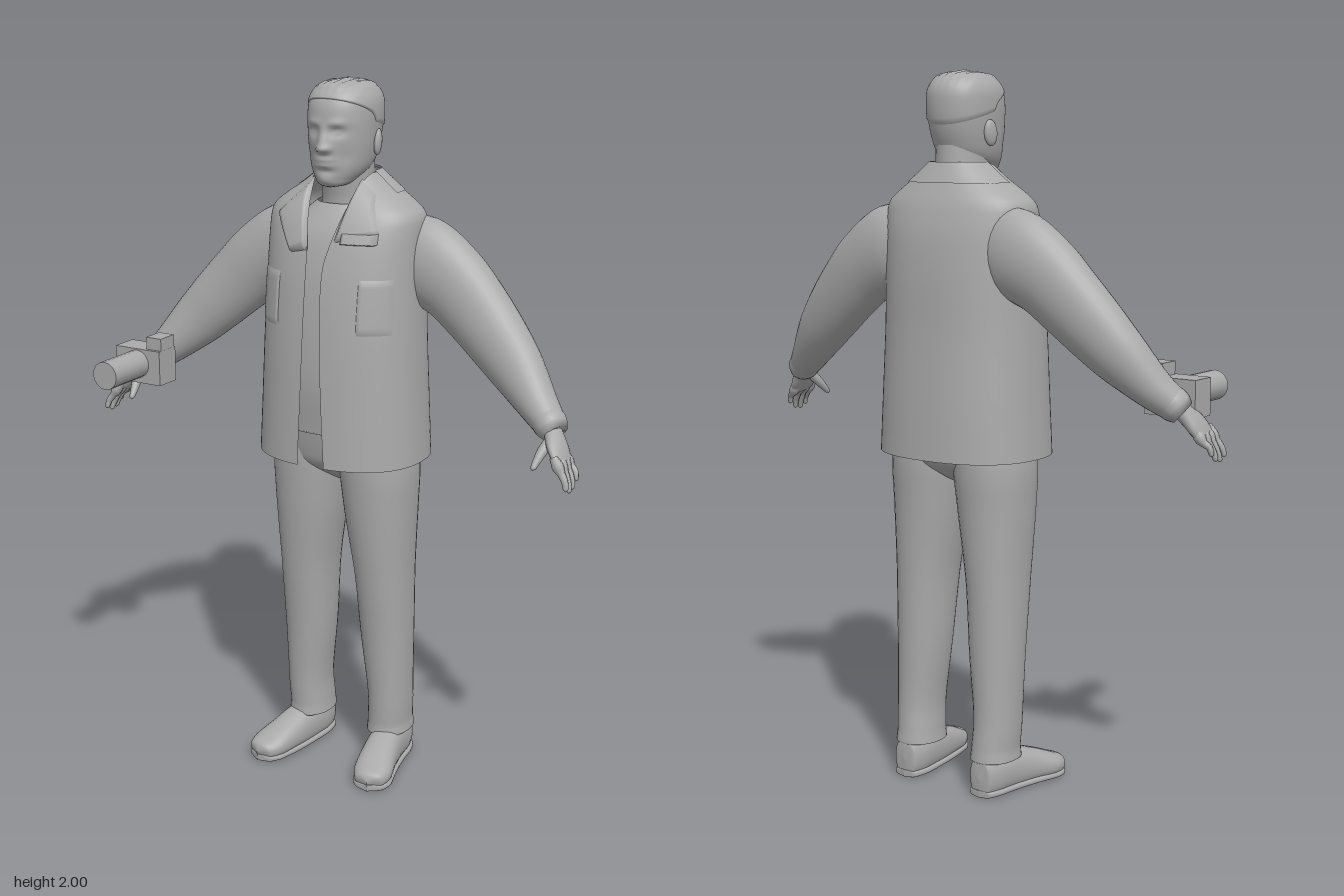
import * as THREE from 'three';

const V = (x, y, z) => new THREE.Vector3(x, y, z);
const spow = (a, p) => Math.sign(a) * Math.abs(a) ** p;
const bell = (d, w) => Math.exp(-(d * d) / (w * w));
const grey = new THREE.MeshStandardMaterial({ color: 0xaaaaaa, side: THREE.DoubleSide });
grey.name = 'grey';

// Grid surface from f(u, v); u may wrap round
function surface(f, nu, nv, closed = true) {
  const pos = [], idx = [], cols = closed ? nu : nu + 1;
  for (let j = 0; j <= nv; j++)
    for (let i = 0; i < cols; i++) pos.push(...f(i / nu, j / nv).toArray());
  for (let j = 0; j < nv; j++)
    for (let i = 0; i < nu; i++) {
      const a = j * cols + i, b = j * cols + (i + 1) % cols, c = a + cols, d = b + cols;
      idx.push(a, c, b, b, c, d);
    }
  const g = new THREE.BufferGeometry();
  g.setAttribute('position', new THREE.Float32BufferAttribute(pos, 3));
  g.setIndex(idx);
  g.computeVertexNormals();
  return g;
}

// Smooth value of column k at height y in sections [y, halfWidth, zFront, zBack]
function at(s, y, k) {
  let i = 0;
  while (i < s.length - 2 && y > s[i + 1][0]) i++;
  const slope = (a, b) => (s[b][k] - s[a][k]) / (s[b][0] - s[a][0]);
  const h = s[i + 1][0] - s[i][0], t = (y - s[i][0]) / h;
  const m0 = slope(Math.max(i - 1, 0), i + 1) * h, m1 = slope(i, Math.min(i + 2, s.length - 1)) * h;
  const t2 = t * t, t3 = t2 * t;
  return s[i][k] * (2 * t3 - 3 * t2 + 1) + m0 * (t3 - 2 * t2 + t) + s[i + 1][k] * (3 * t2 - 2 * t3) + m1 * (t3 - t2);
}

// Point on a sectioned body at height y and angle a (front at 90 degrees)
function ring(s, y, a, n, off = 0) {
  const f = at(s, y, 2), b = at(s, y, 3);
  return V((Math.max(at(s, y, 1), 0) + off) * spow(Math.cos(a), 2 / n), y,
    (f + b) / 2 + (Math.max((f - b) / 2, 0) + off) * spow(Math.sin(a), 2 / n));
}
function body(s, n, nu = 48, nv = 32) {
  const y0 = s[0][0], y1 = s[s.length - 1][0];
  return surface((u, v) => ring(s, y0 + (y1 - y0) * (1 - Math.cos(Math.PI * v)) / 2, u * Math.PI * 2, n), nu, nv);
}

// Limb along points [x, y, z, ra, rb]; rb lies along ref
function limb(pts, ref, nu = 20, nv = 24, n = 2, floor = -1) {
  const path = new THREE.CatmullRomCurve3(pts.map(p => V(p[0], p[1], p[2])));
  const rad = new THREE.CatmullRomCurve3(pts.map(p => V(p[3], p[4], 0)));
  return surface((u, v) => {
    const T = path.getTangent(v), B = ref.clone().addScaledVector(T, -ref.dot(T)).normalize();
    const N = T.clone().cross(B), r = rad.getPoint(v), a = u * Math.PI * 2;
    const p = path.getPoint(v).addScaledVector(N, Math.max(r.x, 0) * spow(Math.cos(a), 2 / n))
      .addScaledVector(B, Math.max(r.y, 0) * spow(Math.sin(a), 2 / n));
    p.y = Math.max(p.y, floor);
    return p;
  }, nu, nv);
}

const VEST = [[0.955, 0.245, 0.145, -0.255], [1.1, 0.238, 0.14, -0.25], [1.3, 0.23, 0.13, -0.24], [1.45, 0.226, 0.115, -0.236],
  [1.56, 0.226, 0.093, -0.226], [1.62, 0.226, 0.072, -0.212], [1.648, 0.219, 0.058, -0.203], [1.675, 0.188, 0.043, -0.191], [1.708, 0.139, 0.022, -0.176], [1.75, 0.085, 0.0, -0.155]];
const SHIRT = [[1.04, 0.2, 0.1, -0.2], [1.2, 0.21, 0.115, -0.21], [1.45, 0.205, 0.1, -0.21], [1.58, 0.19, 0.072, -0.19],
  [1.63, 0.13, 0.045, -0.175], [1.67, 0.08, 0.016, -0.16]];
const PELVIS = [[0.865, 0.015, -0.04, -0.08], [0.89, 0.07, 0.005, -0.13], [0.93, 0.175, 0.056, -0.178], [0.97, 0.208, 0.072, -0.19], [1.07, 0.2, 0.09, -0.2]];
const NECK = [[1.6, 0.08, 0.01, -0.15], [1.68, 0.073, 0.008, -0.152], [1.74, 0.07, 0.02, -0.152], [1.8, 0.07, 0.03, -0.15]];
const HEAD = [[1.715, 0.0, 0.03, 0.0], [1.722, 0.035, 0.05, -0.03], [1.74, 0.057, 0.058, -0.085], [1.77, 0.076, 0.063, -0.13], [1.81, 0.086, 0.065, -0.152],
  [1.86, 0.092, 0.066, -0.166], [1.91, 0.094, 0.065, -0.17], [1.945, 0.09, 0.056, -0.166], [1.972, 0.075, 0.036, -0.148], [1.987, 0.05, 0.01, -0.118], [1.994, 0.0, -0.055, -0.06]];
const VN = 2.35;

// Jacket shell, open down the front and into a V at the neck
function vestShell() {
  const edgeR = [[0.955, 0.043], [1.25, 0.025], [1.5, 0.018], [1.58, 0.035], [1.75, 0.083]];
  const edgeL = [[0.955, 0.04], [1.25, 0.032], [1.5, 0.032], [1.58, 0.042], [1.75, 0.083]];
  return surface((u, v) => {
    const y = 0.955 + 0.795 * Math.sin(v * Math.PI / 2), w = at(VEST, y, 1);
    const ang = e => Math.acos(Math.min(1, at(e, y, 1) / w) ** (VN / 2));
    const start = Math.PI - ang(edgeL), end = Math.PI * 2 + ang(edgeR);
    return ring(VEST, y, start + (end - start) * u, VN);
  }, 72, 44, false);
}

// Cloth panel laid on the jacket front; corners run round as [x, y]
function panel(c, off) {
  const n = 12;
  return surface((u, v) => {
    const mix = k => (c[0][k] * (1 - u) + c[1][k] * u) * (1 - v) + (c[3][k] * (1 - u) + c[2][k] * u) * v;
    const x = mix(0), y = mix(1), f = at(VEST, y, 2), b = at(VEST, y, 3);
    const q = Math.min(1, Math.abs(x) / at(VEST, y, 1));
    const rim = Math.min(u, v, 1 - u, 1 - v) < 0.01;
    return V(x, y, (f + b) / 2 + (f - b) / 2 * (1 - q ** VN) ** (1 / VN) + (rim ? -0.003 : off));
  }, n, n, false);
}

// Head with nose, brow, eye sockets, lips and chin
function headShape() {
  const g = body(HEAD, 2.15, 96, 72), p = g.attributes.position;
  for (let i = 0; i < p.count; i++) {
    const x = p.getX(i), y = p.getY(i), z = p.getZ(i), ax = Math.abs(x);
    if (z < -0.02) continue;
    const ridge = y > 1.822 ? Math.max(0, 1 - (y - 1.822) / 0.07) : bell(y - 1.822, 0.01);
    const dz = 0.024 * bell(x, 0.012 + 0.006 * ridge) * ridge
      + 0.007 * bell(ax - 0.014, 0.008) * bell(y - 1.823, 0.009)
      - 0.011 * bell(ax - 0.036, 0.02) * bell(y - 1.868, 0.013)
      + 0.005 * bell(ax - 0.036, 0.012) * bell(y - 1.866, 0.006)
      + 0.005 * bell(ax - 0.034, 0.026) * bell(y - 1.89, 0.01)
      + 0.006 * bell(x, 0.026) * (bell(y - 1.793, 0.007) + bell(y - 1.778, 0.007))
      - 0.004 * bell(x, 0.03) * bell(y - 1.762, 0.008)
      + 0.006 * bell(x, 0.025) * bell(y - 1.738, 0.014)
      - 0.004 * bell(ax - 0.055, 0.02) * bell(y - 1.8, 0.025);
    p.setZ(i, z + dz);
  }
  g.computeVertexNormals();
  return g;
}

// Short hair with a hairline that drops from brow to crown
function hairShape() {
  return surface((u, v) => {
    const a = u * Math.PI * 2, s = Math.sin(a);
    const low = s > 0 ? 1.885 + 0.067 * s ** 0.5 : 1.885 - 0.035 * Math.abs(s);
    const y = low + (1.994 - low) * Math.sin(v * Math.PI / 2);
    const p = ring(HEAD, y, a, 2.15, v === 0 ? -0.002 : 0.0035);
    p.y += 0.006 * v - 0.004 * Math.abs(Math.sin(p.x * 130)) * v;
    return p;
  }, 80, 24);
}

export function createModel() {
  const man = new THREE.Group();
  man.name = 'man';
  const add = (name, geo, x = 0, y = 0, z = 0) => {
    const m = new THREE.Mesh(geo, grey);
    m.name = name;
    m.position.set(x, y, z);
    man.add(m);
    return m;
  };
  const X = V(1, 0, 0), Y = V(0, 1, 0), Z = V(0, 0, 1);

  // Head and torso
  add('head', headShape());
  add('hair', hairShape());
  add('neck', body(NECK, 2));
  add('shirt', body(SHIRT, VN));
  add('pelvis', body(PELVIS, 2.3));
  add('belt', surface((u, v) => ring(PELVIS, 1.035 + 0.04 * v, u * Math.PI * 2, 2.3, 0.012), 48, 2));
  add('vest', vestShell());
  add('collarBack', surface((u, v) => ring(VEST, 1.7 + 0.055 * v, Math.PI * (0.97 + 1.06 * u), VN, 0.005), 32, 6, false));
  add('rightLapel', panel([[-0.165, 1.64], [-0.085, 1.54], [-0.035, 1.55], [-0.072, 1.738]], 0.014));
  add('leftLapel', panel([[0.165, 1.6], [0.12, 1.703], [0.072, 1.738], [0.04, 1.575]], 0.01));
  add('lapelTab', panel([[0.16, 1.575], [0.16, 1.607], [0.06, 1.607], [0.06, 1.575]], 0.014));

  for (const s of [1, -1]) {
    const side = s > 0 ? 'left' : 'right';
    const at3 = list => list.map(([x, ...rest]) => [x * s, ...rest]);
    add(side + 'ChestPocket', panel(at3([[0.12, 1.33], [0.205, 1.33], [0.205, 1.49], [0.12, 1.49]]), 0.004));

    // Ear
    const ear = add(side + 'Ear', new THREE.SphereGeometry(1, 16, 12), s * 0.092, 1.832, -0.066);
    ear.scale.set(0.011, 0.036, 0.021);
    ear.rotation.set(-0.15, s * 0.3, 0);

    // Sleeve, cuff and hand
    add(side + 'Sleeve', limb(at3([[0.13, 1.525, -0.112, 0.1, 0.065], [0.21, 1.513, -0.112, 0.124, 0.079], [0.3, 1.465, -0.108, 0.112, 0.078],
      [0.375, 1.4, -0.101, 0.102, 0.074], [0.45, 1.328, -0.088, 0.092, 0.07], [0.515, 1.263, -0.072, 0.08, 0.064], [0.6, 1.178, -0.037, 0.055, 0.053], [0.648, 1.137, -0.012, 0.043, 0.045]]), Z, 28, 36));
    add(side + 'Cuff', limb(at3([[0.632, 1.152, -0.02, 0.044, 0.047], [0.642, 1.143, -0.015, 0.046, 0.048], [0.654, 1.131, -0.009, 0.043, 0.046], [0.654, 1.131, -0.009, 0.01, 0.01]]), Z, 24, 9));
    add(side + 'Palm', limb(at3([[0.64, 1.145, -0.015, 0.024, 0.028], [0.665, 1.118, 0.005, 0.023, 0.031], [0.688, 1.088, 0.027, 0.021, 0.043],
      [0.706, 1.06, 0.04, 0.016, 0.042], [0.711, 1.05, 0.043, 0.0, 0.02]]), Z, 20, 20));
    for (let i = 0; i < 4; i++) {
      const z = 0.008 + 0.022 * i, drop = [0.02, 0.004, 0, 0.01][i];
      add(side + 'Finger' + (i + 1), limb(at3([[0.695, 1.08, z, 0.011, 0.011], [0.718, 1.045, z + 0.004, 0.011, 0.011],
        [0.734, 1.012 + drop, z + 0.01, 0.009, 0.009], [0.739, 0.992 + drop, z + 0.014, 0.007, 0.007], [0.739, 0.987 + drop, z + 0.015, 0, 0]]), Z, 10, 14));
    }
    add(side + 'Thumb', limb(at3([[0.668, 1.115, 0.02, 0.014, 0.016], [0.655, 1.085, 0.052, 0.014, 0.014],
      [0.648, 1.058, 0.078, 0.01, 0.01], [0.646, 1.045, 0.09, 0.007, 0.007], [0.646, 1.04, 0.092, 0, 0]]), X, 12, 16));

    // Trouser leg with a slightly flared hem
    add(side + 'Leg', limb(at3([[0.1, 1.02, -0.06, 0.1, 0.128], [0.108, 0.93, -0.062, 0.108, 0.128], [0.114, 0.8, -0.063, 0.1, 0.118],
      [0.124, 0.6, -0.07, 0.081, 0.101], [0.129, 0.4, -0.08, 0.073, 0.086], [0.137, 0.2, -0.088, 0.061, 0.078],
      [0.134, 0.13, -0.093, 0.061, 0.079], [0.134, 0.098, -0.094, 0.064, 0.082], [0.134, 0.096, -0.094, 0.03, 0.03]]), Z, 32, 48, 2.15));

    // Shoe with a flat sole
    const shoe = at3([[0.134, 0.054, -0.176, 0, 0], [0.134, 0.054, -0.171, 0.034, 0.056], [0.137, 0.055, -0.12, 0.048, 0.062], [0.145, 0.055, -0.05, 0.05, 0.062],
      [0.16, 0.045, 0.03, 0.054, 0.048], [0.176, 0.034, 0.09, 0.056, 0.036], [0.184, 0.028, 0.13, 0.041, 0.026], [0.187, 0.024, 0.144, 0, 0.005]]);
    add(side + 'Shoe', limb(shoe, Y, 28, 40, 2.3, 0));
    add(side + 'Sole', limb(shoe.map(([x, , z, r]) => [x, 0.01, z, r * 1.03, 0.01]), Y, 24, 32, 4, 0));
  }

  // Camera held in the right hand
  add('cameraBody', new THREE.BoxGeometry(0.155, 0.102, 0.08), -0.608, 1.151, 0.065);
  add('cameraViewfinder', new THREE.BoxGeometry(0.052, 0.038, 0.065), -0.557, 1.219, 0.062);
  const lens = add('cameraLens', new THREE.CylinderGeometry(0.041, 0.041, 0.16, 16), -0.61, 1.157, 0.18);
  lens.rotation.x = Math.PI / 2;
  return man;
}
